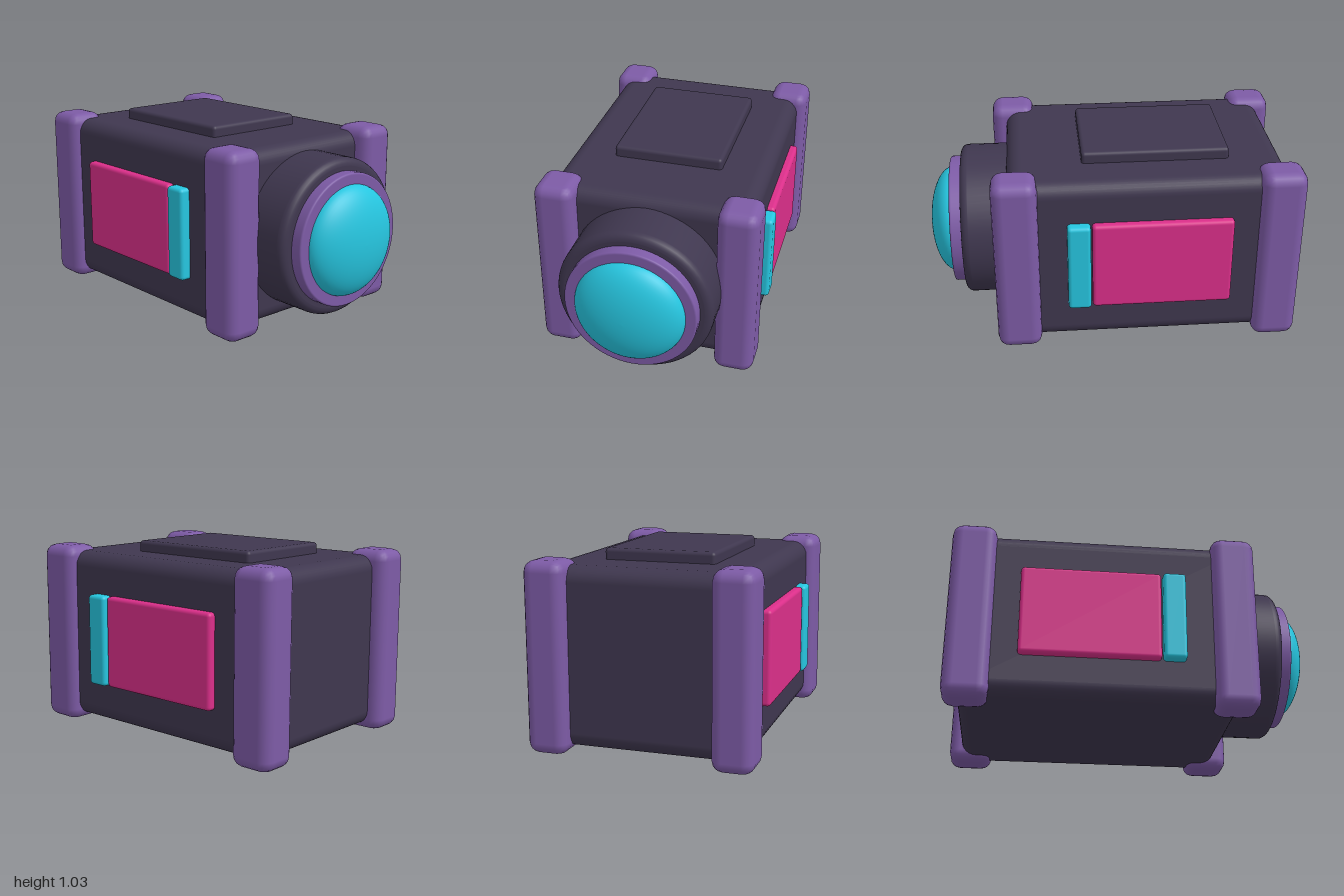
import * as THREE from 'three';
import { RoundedBoxGeometry } from 'three/addons/geometries/RoundedBoxGeometry.js';

const material = (name, color) => {
  const m = new THREE.MeshStandardMaterial({ color });
  m.name = name;
  return m;
};

export function createModel() {
  const group = new THREE.Group();
  const dark = material('dark casing', 0x3f374f);
  const purple = material('purple trim', 0x7d5ba6);
  const cyan = material('cyan glow', 0x26c6e0);
  const pink = material('pink panel', 0xdb2f8a);

  const add = (name, geometry, mat) => {
    const mesh = new THREE.Mesh(geometry, mat);
    mesh.name = name;
    group.add(mesh);
    return mesh;
  };

  // Rounded box given by its limits on each axis
  const box = (name, mat, [x0, x1], [y0, y1], [z0, z1], radius, segments = 3) => {
    const g = new RoundedBoxGeometry(x1 - x0, y1 - y0, z1 - z0, segments, radius);
    g.translate((x0 + x1) / 2, (y0 + y1) / 2, (z0 + z1) / 2);
    return add(name, g, mat);
  };

  // Round part turned about the front axis; profile is [radius, z] from back to front
  const turned = (name, mat, profile) => {
    const g = new THREE.LatheGeometry(profile.map(([r, z]) => new THREE.Vector2(r, z)), 64);
    g.rotateX(Math.PI / 2);
    g.translate(0, 0.5, 0);
    return add(name, g, mat);
  };

  // Disc with a rounded front rim
  const drum = (name, mat, r, z0, z1, bevel) => {
    const profile = [[r, z0], [r, z1 - bevel - 0.002]];
    for (let i = 0; i <= 5; i++) {
      const a = (i / 5) * Math.PI / 2;
      profile.push([r - bevel + bevel * Math.cos(a), z1 - bevel + bevel * Math.sin(a)]);
    }
    profile.push([r - bevel - 0.002, z1], [0, z1]);
    return turned(name, mat, profile);
  };

  // Main casing and lid plate
  box('body', dark, [-0.55, 0.55], [0.03, 0.97], [-0.93, 0.56], 0.08, 4);
  box('topPlate', dark, [-0.3, 0.3], [0.93, 1.03], [-0.63, 0.16], 0.02);

  // Corner posts and side panels, mirrored left and right
  for (const [side, s] of [['left', 1], ['right', -1]]) {
    const span = (a, b) => (s > 0 ? [a, b] : [-b, -a]);
    box(side + 'FrontPost', purple, span(0.38, 0.6), [0, 1], [0.4, 0.64], 0.06, 2);
    box(side + 'BackPost', purple, span(0.38, 0.6), [0, 1], [-1, -0.76], 0.06, 2);
    box(side + 'Panel', pink, span(0.51, 0.592), [0.25, 0.75], [-0.625, 0.122], 0.02);
    box(side + 'LightStrip', cyan, span(0.53, 0.606), [0.25, 0.75], [0.13, 0.253], 0.02);
  }

  // Lens housing, ring and domed lens
  drum('lensHousing', dark, 0.42, 0.48, 0.815, 0.04);
  drum('lensRing', purple, 0.355, 0.78, 0.877, 0.01);
  const dome = [];
  for (let i = 0; i <= 16; i++) {
    const a = (i / 16) * Math.PI / 2;
    dome.push([0.296 * Math.cos(a), 0.87 + 0.13 * Math.sin(a)]);
  }
  turned('lens', cyan, dome);

  return group;
}
